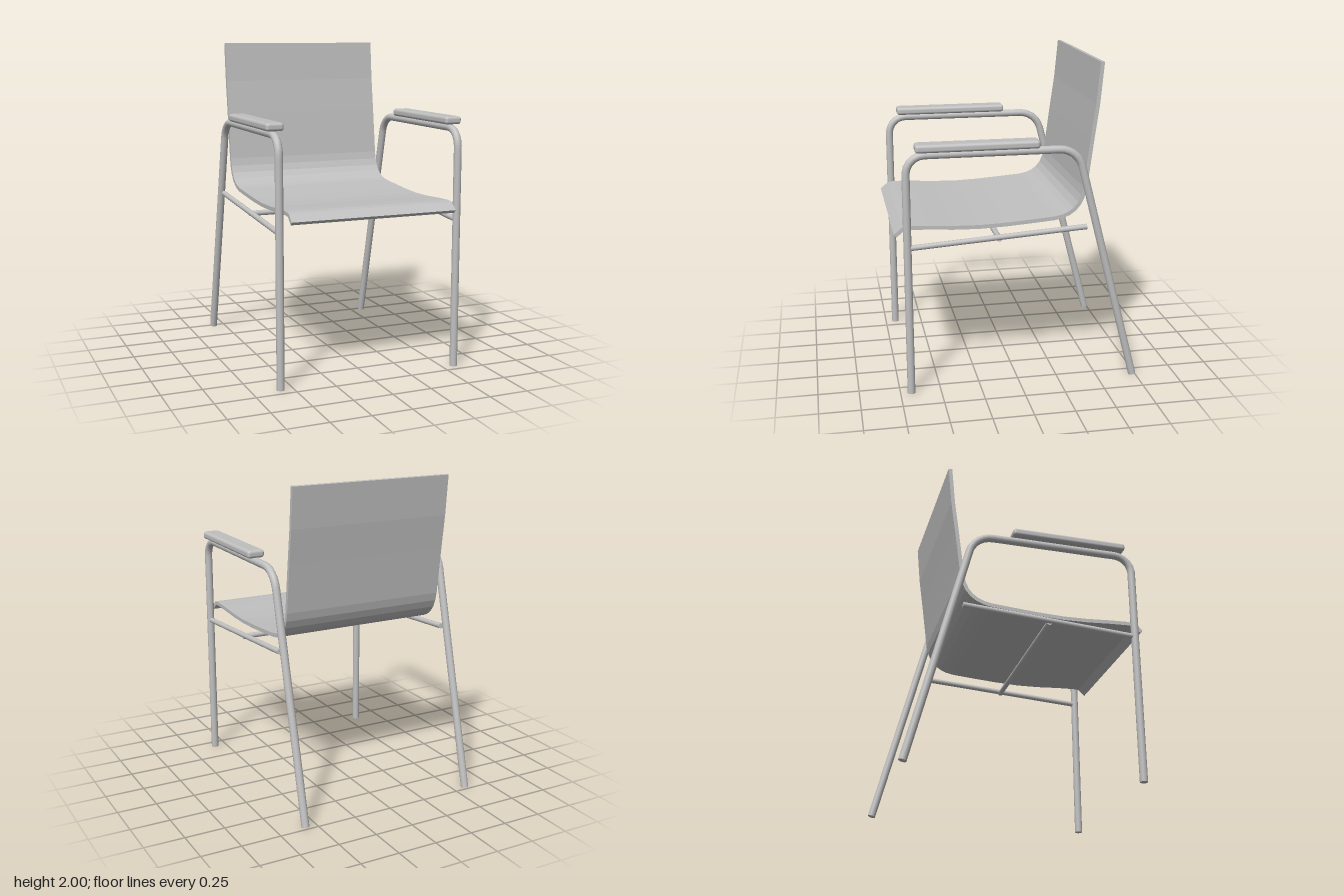
import * as THREE from 'three';
import { RoundedBoxGeometry } from 'three/addons/geometries/RoundedBoxGeometry.js';

const TUBE_X = 0.578, TUBE_R = 0.024, RAIL_R = 0.017, SEAT_HALF = 0.53;

export function createModel() {
  const chair = new THREE.Group();
  chair.name = 'armchair';
  const grey = new THREE.MeshStandardMaterial({ color: 0xc0c0c0 });
  grey.name = 'light grey';

  const add = (name, geometry, parent = chair) => {
    const mesh = new THREE.Mesh(geometry, grey);
    mesh.name = name;
    parent.add(mesh);
    return mesh;
  };

  // Straight round bar between two points
  const bar = (name, a, b, r) => {
    const dir = b.clone().sub(a);
    const mesh = add(name, new THREE.CylinderGeometry(r, r, dir.length(), 16));
    mesh.position.copy(a).add(b).multiplyScalar(0.5);
    mesh.quaternion.setFromUnitVectors(new THREE.Vector3(0, 1, 0), dir.normalize());
  };

  // Bent-tube path: straight runs joined by rounded corners
  const bentPath = (points, bend) => {
    const path = new THREE.CurvePath();
    let from = points[0];
    for (let i = 1; i < points.length - 1; i++) {
      const p = points[i];
      const toward = (q) => p.clone().add(q.clone().sub(p).setLength(bend));
      const start = toward(points[i - 1]), end = toward(points[i + 1]);
      const ease = (q) => q.clone().lerp(p, 0.58);
      path.add(new THREE.LineCurve3(from, start));
      path.add(new THREE.CubicBezierCurve3(start, ease(start), ease(end), end));
      from = end;
    }
    path.add(new THREE.LineCurve3(from, points[points.length - 1]));
    return path;
  };

  // Shell: side profile (z, y) thickened and extruded across the width
  const profile = [
    [0.75, 1.0], [0.702, 1.042], [0.66, 1.046], [0.55, 1.042], [0.4, 1.032],
    [0.24, 1.028], [0.08, 1.034], [-0.08, 1.045], [-0.22, 1.056], [-0.27, 1.066],
    [-0.31, 1.083], [-0.345, 1.108], [-0.375, 1.145], [-0.395, 1.19], [-0.407, 1.24],
    [-0.418, 1.33], [-0.445, 1.54], [-0.474, 1.75], [-0.497, 2.0],
  ].map(([z, y]) => new THREE.Vector2(z, y));
  const offset = (d) => profile.map((p, i) => {
    const t = profile[Math.min(i + 1, profile.length - 1)].clone()
      .sub(profile[Math.max(i - 1, 0)]).normalize();
    return new THREE.Vector2(p.x - t.y * d, p.y + t.x * d);
  });
  const outline = new THREE.Shape([...offset(0.012), ...offset(-0.012).reverse()]);
  const shell = new THREE.ExtrudeGeometry(outline, { depth: SEAT_HALF * 2, bevelEnabled: false });
  shell.rotateY(-Math.PI / 2).translate(SEAT_HALF, 0, 0);
  add('seatAndBackShell', shell);

  for (const side of [1, -1]) {
    const label = side > 0 ? 'left' : 'right';
    const at = (y, z) => new THREE.Vector3(side * TUBE_X, y, z);

    // One bent tube forms the front leg, arm support and rear leg
    const frame = new THREE.Group();
    frame.name = `${label}LegFrame`;
    chair.add(frame);
    const path = bentPath([at(0, 0.683), at(1.496, 0.683), at(1.496, -0.345), at(0.006, -0.73)], 0.115);
    add(`${label}LegTube`, new THREE.TubeGeometry(path, 120, TUBE_R, 16), frame);

    // Closed tube ends at the floor
    for (const [u, sign, name] of [[0, -1, 'FrontFoot'], [1, 1, 'RearFoot']]) {
      const cap = add(label + name, new THREE.CircleGeometry(TUBE_R, 16), frame);
      cap.position.copy(path.getPointAt(u));
      cap.quaternion.setFromUnitVectors(
        new THREE.Vector3(0, 0, 1), path.getTangentAt(u).multiplyScalar(sign).normalize());
    }

    add(`${label}Armrest`, new RoundedBoxGeometry(0.11, 0.049, 0.735, 4, 0.018))
      .position.set(side * TUBE_X, 1.541, 0.262);
    bar(`${label}SeatRail`, at(0.936, 0.67), at(1.008, -0.408), RAIL_R);
  }

  // Crossbar tying the two seat rails together
  bar('crossbar', new THREE.Vector3(-TUBE_X, 0.961, 0.13), new THREE.Vector3(TUBE_X, 0.961, 0.13), RAIL_R);
  return chair;
}
